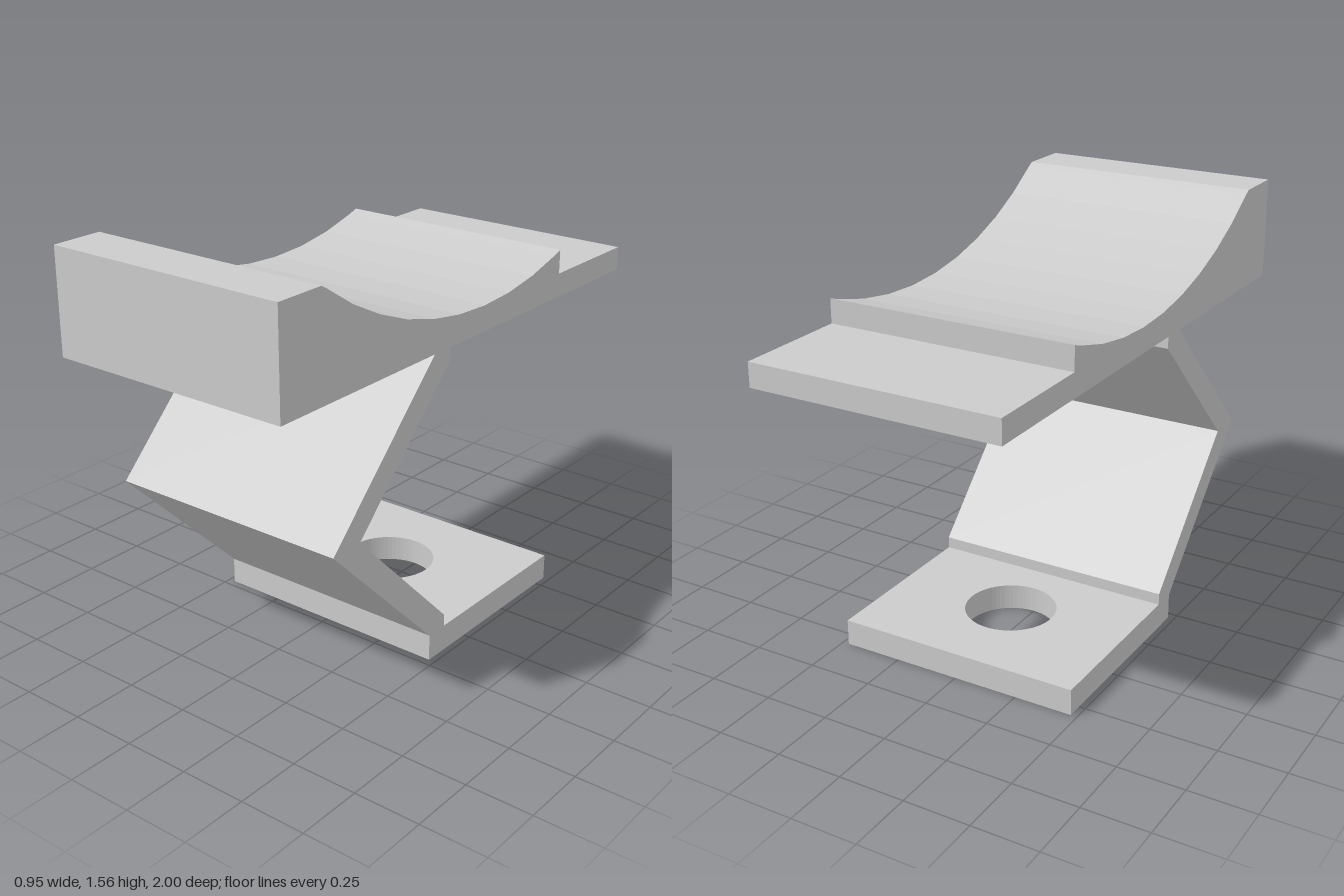
import * as THREE from 'three';

const WIDTH = 0.95;
const material = new THREE.MeshStandardMaterial({ color: 0xcccccc, flatShading: true });

function addPart(group, name, geometry) {
  const mesh = new THREE.Mesh(geometry, material);
  mesh.name = name;
  group.add(mesh);
}

// Extrude a side profile of [z, y] points across the full width, centred on x = 0
function extrudeProfile(points) {
  const shape = new THREE.Shape(points.map(([z, y]) => new THREE.Vector2(z, y)));
  return new THREE.ExtrudeGeometry(shape, { depth: WIDTH, bevelEnabled: false })
    .translate(0, 0, -WIDTH / 2)
    .rotateY(-Math.PI / 2);
}

export function createModel() {
  const group = new THREE.Group();
  group.name = 'cradleStand';

  // Cradle: slab with a faceted circular hollow, a tall front block and a thin rear shelf
  const hollow = [];
  for (let deg = -18; deg <= 36; deg += 6) {
    const a = THREE.MathUtils.degToRad(deg);
    hollow.push([-0.07 + 1.45 * Math.sin(a), 2.72 - 1.45 * Math.cos(a)]);
  }
  addPart(group, 'cradle', extrudeProfile([
    [-1, 1.175], [1, 1.175], [1, 1.56], [0.805, 1.56],
    ...hollow.reverse(),
    [-0.56, 1.355], [-0.56, 1.265], [-1, 1.265],
  ]));

  // Leg: V-shaped strut bent forward, with short upright ends
  addPart(group, 'bentLeg', extrudeProfile([
    [0.22, 0.1], [0.76, 0.637], [0.22, 1.175], [0.13, 1.175],
    [0.13, 1.13], [0.622, 0.637], [0.13, 0.145], [0.13, 0.1],
  ]));

  // Base: flat plate with a round hole through its middle
  const plate = new THREE.Shape();
  plate.moveTo(-WIDTH / 2, -0.22);
  plate.lineTo(WIDTH / 2, -0.22);
  plate.lineTo(WIDTH / 2, 0.56);
  plate.lineTo(-WIDTH / 2, 0.56);
  plate.closePath();
  plate.holes.push(new THREE.Path().absarc(0, 0.17, 0.173, 0, Math.PI * 2, true));
  addPart(group, 'basePlate', new THREE.ExtrudeGeometry(plate, {
    depth: 0.1, bevelEnabled: false, curveSegments: 32,
  }).rotateX(-Math.PI / 2));

  return group;
}
